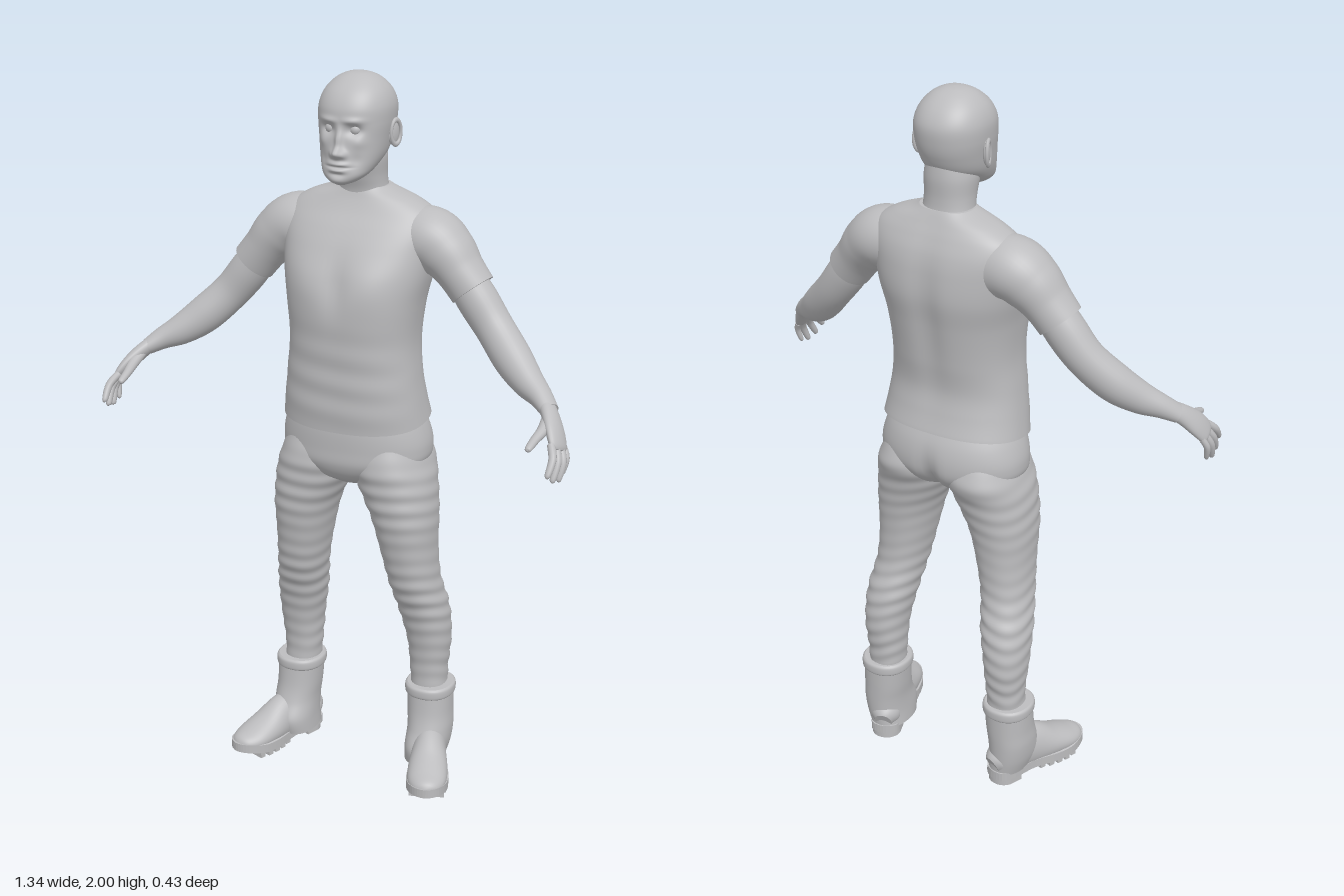
import * as THREE from 'three';

const grey = new THREE.MeshStandardMaterial({ color: 0xbcbcbe });
grey.name = 'plain grey';

// Smooth interpolation of every column between rows
function refine(rows, steps) {
  const out = [], last = rows.length - 1;
  for (let k = 0; k <= last * steps; k++) {
    const i = Math.min(Math.floor(k / steps), last - 1), t = k / steps - i;
    const a = rows[Math.max(i - 1, 0)], b = rows[i], c = rows[i + 1], d = rows[Math.min(i + 2, last)];
    out.push(b.map((_, m) => b[m] + 0.5 * t * (c[m] - a[m] + t * (2 * a[m] - 5 * b[m] + 4 * c[m] - d[m]
      + t * (3 * (b[m] - c[m]) + d[m] - a[m])))));
  }
  return out;
}

// Skin a list of closed rings and close both ends with flat caps
function skin(rings) {
  const n = rings[0].length, pos = [], index = [];
  rings.forEach(r => r.forEach(p => pos.push(p.x, p.y, p.z)));
  for (let i = 0; i < rings.length - 1; i++) {
    for (let j = 0; j < n; j++) {
      const a = i * n + j, b = i * n + (j + 1) % n;
      index.push(a, b, a + n, b, b + n, a + n);
    }
  }
  [rings[0], rings[rings.length - 1]].forEach((ring, end) => {
    const base = pos.length / 3, mid = new THREE.Vector3();
    ring.forEach(p => { pos.push(p.x, p.y, p.z); mid.addScaledVector(p, 1 / n); });
    pos.push(mid.x, mid.y, mid.z);
    for (let j = 0; j < n; j++) {
      const a = base + j, b = base + (j + 1) % n;
      if (end) index.push(a, b, base + n); else index.push(b, a, base + n);
    }
  });
  const g = new THREE.BufferGeometry();
  g.setAttribute('position', new THREE.Float32BufferAttribute(pos, 3));
  g.setIndex(index);
  g.computeVertexNormals();
  return g;
}

const spow = (v, p) => Math.sign(v) * Math.pow(Math.abs(v), 2 / p);

// Upright form; rows are [y, centre x, half width, front z, back z]
function stack(rows, { n = 56, steps = 8, p = 2.2, rule = null } = {}) {
  return skin(refine(rows, steps).map(([y, cx, hw, zf, zb]) => Array.from({ length: n }, (_, j) => {
    const a = j / n * Math.PI * 2;
    const v = new THREE.Vector3(cx + hw * spow(Math.cos(a), p), y, (zf + zb) / 2 - (zf - zb) / 2 * spow(Math.sin(a), p));
    if (rule) rule(v, a, cx);
    return v;
  })));
}

// Limb along a path; rows are [x, y, z, radius along ref, radius across]
function limb(rows, ref, { n = 28, steps = 6, rule = null } = {}) {
  const pts = refine(rows, steps), at = i => new THREE.Vector3(...pts[i].slice(0, 3));
  return skin(pts.map((r, i) => {
    const T = at(Math.min(i + 1, pts.length - 1)).sub(at(Math.max(i - 1, 0))).normalize();
    const N = new THREE.Vector3(...ref).addScaledVector(T, -T.dot(new THREE.Vector3(...ref))).normalize();
    const B = T.clone().cross(N);
    return Array.from({ length: n }, (_, j) => {
      const a = j / n * Math.PI * 2;
      const v = at(i).addScaledVector(N, r[3] * Math.cos(a)).addScaledVector(B, r[4] * Math.sin(a));
      if (rule) rule(v);
      return v;
    });
  }));
}

const bell = (d, s) => Math.exp(-(d * d) / (s * s));

// Facial relief: [x, y, width, height, depth], mirrored where x is not zero
const relief = [[0, 1.81, 0.013, 0.014, 0.025], [0, 1.84, 0.009, 0.026, 0.013], [0.016, 1.806, 0.009, 0.009, 0.009],
  [0.036, 1.866, 0.021, 0.014, -0.014], [0.034, 1.89, 0.026, 0.008, 0.006], [0, 1.782, 0.024, 0.006, 0.009],
  [0, 1.766, 0.021, 0.006, 0.008], [0, 1.774, 0.028, 0.0025, -0.005], [0, 1.755, 0.02, 0.006, -0.004],
  [0, 1.738, 0.022, 0.01, 0.004], [0.052, 1.835, 0.016, 0.014, 0.004], [0.045, 1.79, 0.014, 0.018, -0.004]];

function faceRule(v) {
  const w = THREE.MathUtils.smoothstep(v.z, -0.02, 0.03);
  let d = 0;
  for (const [x, y, sx, sy, h] of relief) d += h * bell(Math.abs(v.x) - x, sx) * bell(v.y - y, sy);
  v.z += w * d;
}

export function createModel() {
  const model = new THREE.Group();
  model.name = 'standingMan';

  function add(name, geometry, parent = model) {
    const m = new THREE.Mesh(geometry, grey);
    m.name = name;
    parent.add(m);
    return m;
  }
  function pair(name, geometry) {
    add('left' + name, geometry);
    const g = geometry.clone().toNonIndexed().scale(-1, 1, 1);
    for (const key of ['position', 'normal']) {
      const a = g.attributes[key], p = new THREE.Vector3(), q = new THREE.Vector3();
      for (let i = 0; i < a.count; i += 3) {
        p.fromBufferAttribute(a, i + 1); q.fromBufferAttribute(a, i + 2);
        a.setXYZ(i + 1, q.x, q.y, q.z); a.setXYZ(i + 2, p.x, p.y, p.z);
      }
    }
    add('right' + name, g);
  }

  // Head and neck
  add('head', stack([[1.726, 0, 0.015, 0.058, 0.015], [1.735, 0, 0.038, 0.07, -0.015], [1.75, 0, 0.058, 0.074, -0.05],
    [1.77, 0, 0.071, 0.071, -0.09], [1.8, 0, 0.083, 0.065, -0.135], [1.84, 0, 0.091, 0.06, -0.158], [1.88, 0, 0.097, 0.057, -0.168],
    [1.92, 0, 0.097, 0.052, -0.168], [1.955, 0, 0.084, 0.032, -0.15], [1.982, 0, 0.059, 0, -0.12],
    [1.996, 0, 0.03, -0.03, -0.089], [2, 0, 0.002, -0.058, -0.062]], { n: 160, steps: 12, rule: faceRule }));
  add('neck', stack([[1.64, 0, 0.085, -0.03, -0.165], [1.69, 0, 0.07, -0.03, -0.15], [1.73, 0, 0.066, -0.018, -0.146],
    [1.78, 0, 0.068, 0, -0.148], [1.82, 0, 0.06, 0, -0.145]]));
  pair('Eye', new THREE.SphereGeometry(0.016, 20, 14).translate(0.034, 1.867, 0.031));
  pair('Ear', new THREE.SphereGeometry(1, 20, 16).scale(0.009, 0.033, 0.019).rotateY(-0.35).translate(0.096, 1.847, -0.066));
  pair('EarRim', new THREE.TorusGeometry(0.021, 0.005, 8, 28).scale(0.85, 1.5, 1)
    .rotateY(Math.PI / 2 - 0.35).translate(0.102, 1.848, -0.068));

  // Shirt with a hem that rises at the back, and a shallow spine groove
  add('shirt', stack([[1.055, 0, 0.205, 0.087, -0.2], [1.12, 0, 0.196, 0.093, -0.186], [1.2, 0, 0.186, 0.095, -0.176],
    [1.3, 0, 0.178, 0.1, -0.188], [1.4, 0, 0.187, 0.104, -0.203], [1.48, 0, 0.203, 0.086, -0.216], [1.55, 0, 0.212, 0.055, -0.213],
    [1.6, 0, 0.215, 0.025, -0.203], [1.64, 0, 0.2, -0.004, -0.186], [1.67, 0, 0.155, -0.022, -0.17],
    [1.692, 0, 0.095, -0.032, -0.158], [1.702, 0, 0.074, -0.036, -0.152]], {
    n: 96, p: 2.35, rule(v, a) {
      const back = Math.max(0, Math.sin(a)), front = Math.max(0, -Math.sin(a));
      v.z += back * 0.012 * bell(v.x, 0.04) * bell(v.y - 1.42, 0.2);
      v.z += front * 0.008 * (bell(Math.abs(v.x) - 0.09, 0.06) * bell(v.y - 1.47, 0.06) - bell(v.x, 0.03) * bell(v.y - 1.46, 0.07));
      v.z += front * 0.002 * Math.sin(v.y * 75 + v.x * 6) * bell(v.y - 1.2, 0.12);
      v.y += THREE.MathUtils.clamp((1.28 - v.y) / 0.22, 0, 1) * (0.09 - v.z) * 0.14;
    },
  }));
  pair('Sleeve', limb([[0.1, 1.56, -0.095, 0.075, 0.085], [0.19, 1.572, -0.093, 0.088, 0.084], [0.245, 1.54, -0.086, 0.08, 0.076],
    [0.285, 1.497, -0.08, 0.069, 0.064], [0.322, 1.452, -0.076, 0.062, 0.062]], [0, 0, 1], { n: 40, steps: 8 }));

  // Arms and hands
  pair('Arm', limb([[0.29, 1.49, -0.078, 0.05, 0.05], [0.335, 1.43, -0.074, 0.053, 0.055], [0.39, 1.362, -0.063, 0.05, 0.052],
    [0.455, 1.297, -0.03, 0.05, 0.052], [0.51, 1.255, 0.005, 0.042, 0.043], [0.557, 1.23, 0.035, 0.033, 0.031],
    [0.592, 1.207, 0.063, 0.029, 0.022]], [0, 0, 1]));
  pair('Palm', limb([[0.578, 1.22, 0.05, 0.024, 0.02], [0.602, 1.197, 0.078, 0.03, 0.02], [0.625, 1.168, 0.106, 0.037, 0.018],
    [0.642, 1.14, 0.128, 0.036, 0.014], [0.648, 1.13, 0.135, 0.024, 0.008]], [-0.015, 0.025, 0.06]));
  const fingers = [[0.632, 1.15, 0.152, 0.645, 1.09, 0.208], [0.639, 1.142, 0.135, 0.65, 1.07, 0.182],
    [0.645, 1.135, 0.117, 0.655, 1.062, 0.151], [0.648, 1.13, 0.1, 0.655, 1.07, 0.12]];
  fingers.forEach(([x, y, z, X, Y, Z], i) => {
    const r = i === 3 ? 0.0085 : 0.0105;
    pair('Finger' + (i + 1), limb([[x, y, z, r, r], [(x + X) / 2 + 0.008, (y + Y) / 2 + 0.004, (z + Z) / 2, r, r],
      [X, Y, Z, r * 0.75, r * 0.75], [X - 0.001, Y - 0.005, Z + 0.002, 0.001, 0.001]], [0, 0.3, 1], { n: 12 }));
  });
  pair('Thumb', limb([[0.598, 1.196, 0.085, 0.016, 0.014], [0.6, 1.176, 0.128, 0.015, 0.014], [0.594, 1.163, 0.168, 0.012, 0.011],
    [0.591, 1.151, 0.206, 0.009, 0.008], [0.591, 1.149, 0.213, 0.001, 0.001]], [1, 0, 0], { n: 14 }));

  // Trousers: hips with a seat cleft, legs with cloth folds around knee and shin
  add('hips', stack([[0.885, 0, 0.05, 0.01, -0.09], [0.915, 0, 0.13, 0.055, -0.155], [0.955, 0, 0.2, 0.077, -0.195],
    [1, 0, 0.213, 0.08, -0.206], [1.06, 0, 0.2, 0.08, -0.197], [1.13, 0, 0.17, 0.07, -0.165]], {
    n: 80, rule(v, a) { v.z += Math.max(0, Math.sin(a)) * 0.025 * bell(v.x, 0.022) * bell(v.y - 0.93, 0.08); },
  }));
  pair('Leg', stack([[0.2, 0.205, 0.05, -0.06, -0.17], [0.3, 0.2, 0.052, -0.06, -0.175], [0.4, 0.2, 0.06, -0.045, -0.186],
    [0.5, 0.19, 0.068, -0.018, -0.178], [0.6, 0.173, 0.069, 0.018, -0.152], [0.7, 0.16, 0.076, 0.04, -0.15],
    [0.8, 0.148, 0.089, 0.059, -0.16], [0.9, 0.122, 0.106, 0.07, -0.18], [0.96, 0.108, 0.104, 0.073, -0.2],
    [1.04, 0.1, 0.08, 0.05, -0.17]], {
    steps: 16, rule(v, a, cx) {
      const w = bell(v.y - 0.53, 0.12) + 0.8 * bell(v.y - 0.32, 0.07) + 0.5 * bell(v.y - 0.85, 0.1);
      const k = 1 + 0.03 * w * Math.sin(v.y * 130 + 1.5 * Math.sin(a + 0.7) + Math.sin(2 * a));
      v.x = cx + (v.x - cx) * k;
      v.z = -0.09 + (v.z + 0.09) * k;
    },
  }));

  // Boots: shaft and folded cuff
  pair('BootShaft', stack([[0.035, 0.204, 0.054, -0.01, -0.172], [0.08, 0.212, 0.06, 0, -0.176], [0.13, 0.214, 0.062, -0.022, -0.179],
    [0.18, 0.21, 0.063, -0.036, -0.181], [0.25, 0.207, 0.065, -0.043, -0.183]]));
  pair('BootCuff', stack([[0.232, 0.207, 0.066, -0.042, -0.184], [0.238, 0.207, 0.07, -0.038, -0.187],
    [0.257, 0.207, 0.07, -0.038, -0.187], [0.264, 0.207, 0.064, -0.044, -0.181]], { steps: 4 }));

  // Feet, turned outward
  const place = g => g.rotateY(0.35).translate(0.215, 0, -0.1);
  pair('BootFoot', place(limb([[0, 0.06, -0.074, 0.025, 0.03], [0, 0.07, -0.05, 0.044, 0.045], [0, 0.08, 0, 0.047, 0.065],
    [0, 0.075, 0.06, 0.048, 0.07], [0, 0.06, 0.13, 0.056, 0.049], [0, 0.05, 0.19, 0.054, 0.034],
    [0, 0.046, 0.23, 0.035, 0.023], [0, 0.044, 0.245, 0.004, 0.004]], [1, 0, 0],
    { n: 40, rule(v) { v.y = Math.max(v.y, 0.035); } })));
  const side = [[0.036, -0.064], [0.044, -0.03], [0.043, 0.05], [0.059, 0.13], [0.055, 0.195], [0.033, 0.236]];
  const outline = [[0, -0.078], ...side, [0, 0.25], ...side.slice().reverse().map(([x, z]) => [-x, z])];
  const soleShape = new THREE.Shape(new THREE.CatmullRomCurve3(
    outline.map(([x, z]) => new THREE.Vector3(x, -z, 0)), true).getPoints(60).slice(0, 60).map(p => new THREE.Vector2(p.x, p.y)));
  const sole = new THREE.ExtrudeGeometry(soleShape, { depth: 0.026, bevelEnabled: false }).rotateX(-Math.PI / 2).translate(0, 0.018, 0);
  const sp = sole.attributes.position;
  for (let i = 0; i < sp.count; i++) sp.setY(i, sp.getY(i) + 0.012 * THREE.MathUtils.smoothstep(sp.getZ(i), 0.16, 0.25));
  sole.computeVertexNormals();
  pair('BootSole', place(sole));
  const heel = new THREE.Shape().moveTo(-0.042, 0).lineTo(0.042, 0).lineTo(0.042, -0.035)
    .absellipse(0, -0.035, 0.042, 0.04, 0, Math.PI, true);
  pair('BootHeel', place(new THREE.ExtrudeGeometry(heel, { depth: 0.02, bevelEnabled: false, curveSegments: 20 })
    .rotateX(Math.PI / 2).translate(0, 0.02, 0)));
  [0.08, 0.107, 0.134, 0.161, 0.188].forEach((z, i) => {
    const half = [0.042, 0.05, 0.054, 0.055, 0.05][i];
    pair('SoleTread' + (i + 1), place(new THREE.BoxGeometry(half * 2, 0.018, 0.016).translate(0, 0.012, z)));
  });
  return model;
}
